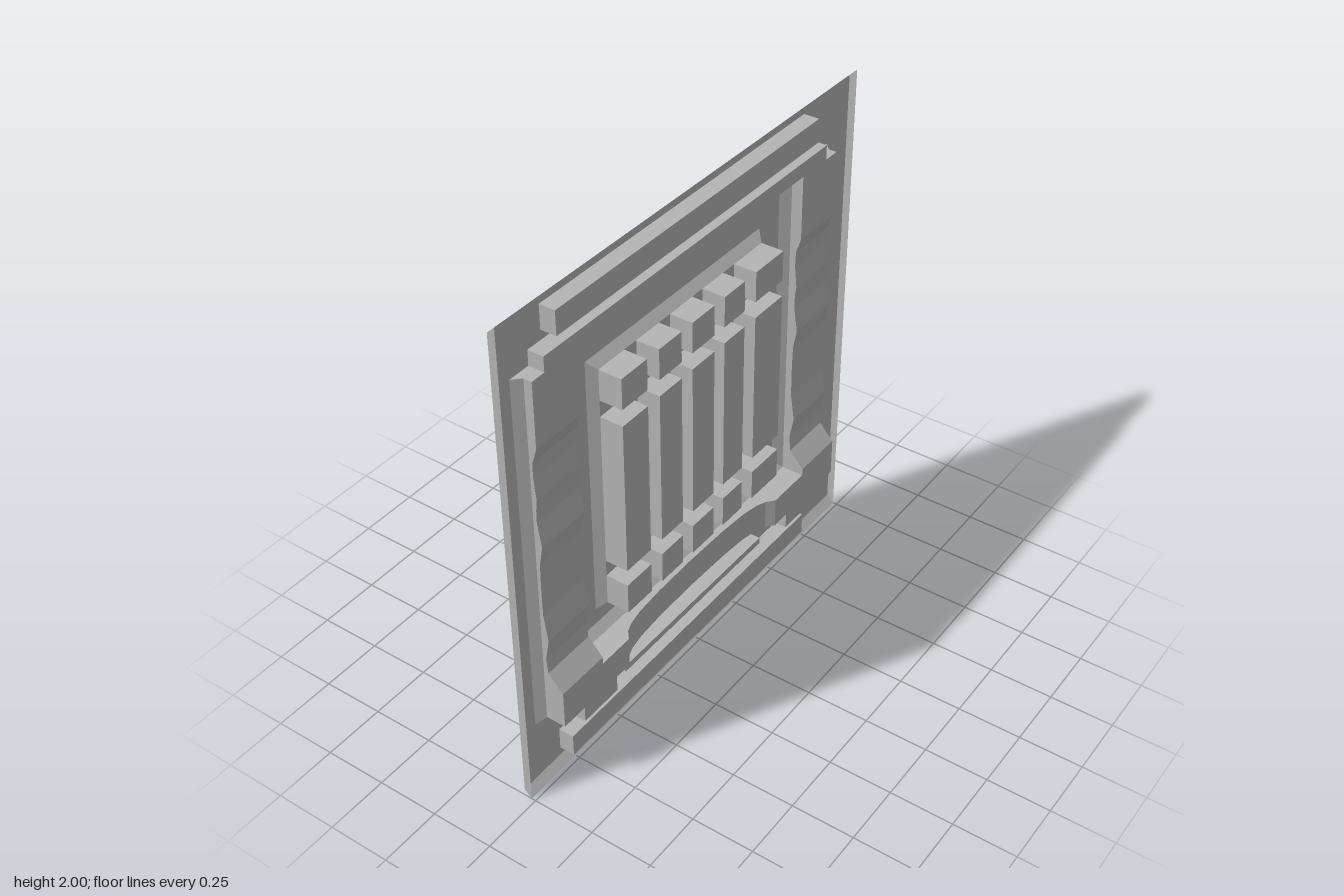
import * as THREE from 'three';

const gray = new THREE.MeshStandardMaterial({ color: 0xb4b4b4, side: THREE.DoubleSide, flatShading: true });
gray.name = 'plain gray';

// Depth levels of the pressed sheet
const RIM = -0.017, PLATE = -0.047, LOW = 0.015, HIGH = 0.062, LEDGE = -0.03, FLOOR = -0.062;

// Side column profile [y, z] and lower band profile [x, z]
const column = [[0.2, HIGH], [0.47, HIGH], [0.536, 0.002], [0.6, -0.003], [0.69, 0.013], [0.8, -0.003],
  [0.92, -0.004], [1.02, -0.002], [1.1, 0.012], [1.2, -0.003], [1.25, -0.002], [1.29, 0.003], [1.38, -0.006],
  [1.44, -0.004], [1.46, 0.003], [1.5, LOW], [1.85, LOW]];
const band = [[-0.7, HIGH], [-0.52, HIGH], [-0.49, 0.036], [-0.45, 0.02], [-0.38, 0.008], [-0.25, 0], [-0.05, -0.003],
  [0.15, 0], [0.28, 0.008], [0.35, 0.02], [0.39, 0.036], [0.42, HIGH], [0.65, HIGH]];

function sample(profile, t) {
  for (let i = 1; i < profile.length; i++) {
    const [a, za] = profile[i - 1], [b, zb] = profile[i];
    if (t <= b) return za + (zb - za) * Math.max(0, (t - a) / (b - a));
  }
  return profile[profile.length - 1][1];
}
const surface = (x, y) => (y < 0.45 && x > -0.52 && x < 0.42 ? sample(band, x) : sample(column, y));

// Breakpoints of a profile between two values, ends included
const cuts = (profile, a, b) => [a, ...profile.map(p => p[0]).filter(t => t > a + 1e-4 && t < b - 1e-4), b];

function mesh(group, name, geometry) {
  const m = new THREE.Mesh(geometry, gray);
  m.name = name;
  group.add(m);
}

// Quads joining two matching rows of 3D points
function strip(group, name, a, b) {
  const pos = [];
  for (let i = 0; i + 1 < a.length; i++) {
    pos.push(...a[i], ...a[i + 1], ...b[i + 1], ...a[i], ...b[i + 1], ...b[i]);
  }
  const g = new THREE.BufferGeometry();
  g.setAttribute('position', new THREE.Float32BufferAttribute(pos, 3));
  g.computeVertexNormals();
  mesh(group, name, g);
}

const at = (points, z) => points.map(([x, y]) => [x, y, z]);
const rect = (x0, y0, x1, y1) => [[x0, y0], [x1, y0], [x1, y1], [x0, y1]];
const closed = p => [...p, p[0]];

// Flat sheet with holes
function sheet(group, name, outline, z, holes = []) {
  const v = p => p.map(([x, y]) => new THREE.Vector2(x, y));
  const shape = new THREE.Shape(v(outline));
  holes.forEach(h => shape.holes.push(new THREE.Path(v(h))));
  mesh(group, name, new THREE.ShapeGeometry(shape).translate(0, 0, z));
}

// Hollow raised box, open at the back
function emboss(group, name, r, z0, z1) {
  sheet(group, name + 'Face', r, z1);
  strip(group, name + 'Walls', at(closed(r), z0), at(closed(r), z1));
}

// Vertical wall rising from z0 to the relief surface
function wall(group, name, path, z0) {
  const pts = [];
  for (let i = 0; i + 1 < path.length; i++) {
    const [x0, y0] = path[i], [x1, y1] = path[i + 1];
    const alongX = Math.abs(x1 - x0) > Math.abs(y1 - y0);
    const [a, b] = alongX ? [x0, x1] : [y0, y1];
    const ts = cuts(alongX ? band : column, Math.min(a, b), Math.max(a, b));
    if (a > b) ts.reverse();
    ts.forEach(t => pts.push(alongX ? [t, y0] : [x0, t]));
  }
  strip(group, name, at(pts, z0), pts.map(([x, y]) => [x, y, surface(x, y)]));
}

export function createModel() {
  const model = new THREE.Group();
  model.name = 'pressedPanel';

  // Relief outline: foot of the bevel, top of the bevel, and the stepped head
  const outer = [[-0.92, 1.755], [-0.92, 0.285], [-0.81, 0.285], [-0.81, 0.22], [-0.565, 0.22], [-0.565, 0.285],
    [0.47, 0.285], [0.47, 0.22], [0.75, 0.22], [0.75, 0.285], [0.86, 0.285], [0.86, 1.755]];
  const inner = [[-0.89, 1.755], [-0.89, 0.315], [-0.78, 0.315], [-0.78, 0.25], [-0.595, 0.25], [-0.595, 0.315],
    [0.5, 0.315], [0.5, 0.25], [0.72, 0.25], [0.72, 0.315], [0.83, 0.315], [0.83, 1.755]];
  const head = [[0.83, 1.755], [0.76, 1.755], [0.76, 1.813], [-0.83, 1.813], [-0.83, 1.755], [-0.89, 1.755]];

  // Back plate with its flared top and bottom edges and straight sides
  const bars = {
    topBar: rect(-0.765, 1.85, 0.7, 1.943),
    bottomBar: rect(-0.797, 0.065, 0.7, 0.157),
    thinBar: rect(-0.485, 0.225, 0.385, 0.252),
  };
  sheet(model, 'plate', rect(-1, 0.03, 1, 1.97), PLATE, [[...outer, ...head.slice(1, 5)], ...Object.values(bars)]);
  for (const [e, f] of [[0, 0.03], [2, 1.97]]) {
    strip(model, 'plateLip', [[-1, e, RIM], [1, e, RIM]], [[-1, f, PLATE], [1, f, PLATE]]);
  }
  for (const x of [-1, 1]) {
    strip(model, 'plateSide', [[x, 0, RIM], [x, 2, RIM]], [[x, 0.03, PLATE], [x, 1.97, PLATE]]);
  }
  for (const [name, r] of Object.entries(bars)) emboss(model, name, r, PLATE, LOW);

  // Bevel (closed by small end caps) and walls around the relief
  const first = inner[0], last = inner[inner.length - 1];
  strip(model, 'reliefBevel', at([first, ...outer, last], PLATE), at([first, ...inner, last], RIM));
  wall(model, 'reliefWall', inner, RIM);
  strip(model, 'headWall', at(head, PLATE), at(head, LOW));

  // Relief surfaces: rippled columns, head strip, dished lower band, feet
  for (const [x0, x1] of [[-0.89, -0.67], [0.61, 0.83]]) {
    const ys = cuts(column, 0.315, 1.755);
    strip(model, 'rippledColumn', ys.map(y => [x0, y, sample(column, y)]), ys.map(y => [x1, y, sample(column, y)]));
  }
  sheet(model, 'headStrip', rect(-0.83, 1.755, 0.76, 1.813), LOW);
  const xs = cuts(band, -0.67, 0.61);
  strip(model, 'lowerBand', xs.map(x => [x, 0.315, surface(x, 0.315)]), xs.map(x => [x, 0.44, surface(x, 0.44)]));
  for (const [x0, x1] of [[-0.78, -0.595], [0.5, 0.72]]) sheet(model, 'foot', rect(x0, 0.25, x1, 0.315), HIGH);

  // Sunken square frame
  const opening = closed(rect(-0.67, 0.44, 0.61, 1.755));
  const floor = rect(-0.64, 0.47, 0.578, 1.723);
  const rise = rect(-0.545, 0.535, 0.452, 1.597);
  const field = rect(-0.517, 0.565, 0.42, 1.565);
  wall(model, 'frameWall', opening, LEDGE);
  strip(model, 'frameBevel', at(opening, LEDGE), at(closed(floor), FLOOR));
  sheet(model, 'frameFloor', floor, FLOOR, [rise]);
  strip(model, 'fieldBevel', at(closed(rise), FLOOR), at(closed(field), LEDGE));

  // Lattice field: even cells are raised blocks, the rest are flat gaps
  const gx = [-0.517, -0.38, -0.315, -0.19, -0.128, 0, 0.06, 0.182, 0.25, 0.42];
  const gy = [0.565, 0.69, 0.757, 1.377, 1.443, 1.565];
  for (let i = 0; i < gx.length - 1; i++) {
    for (let j = 0; j < gy.length - 1; j++) {
      const cell = rect(gx[i], gy[j], gx[i + 1], gy[j + 1]);
      if (i % 2 === 0 && j % 2 === 0) emboss(model, 'block', cell, LEDGE, HIGH);
      else sheet(model, 'latticeGap', cell, LEDGE);
    }
  }
  return model;
}
